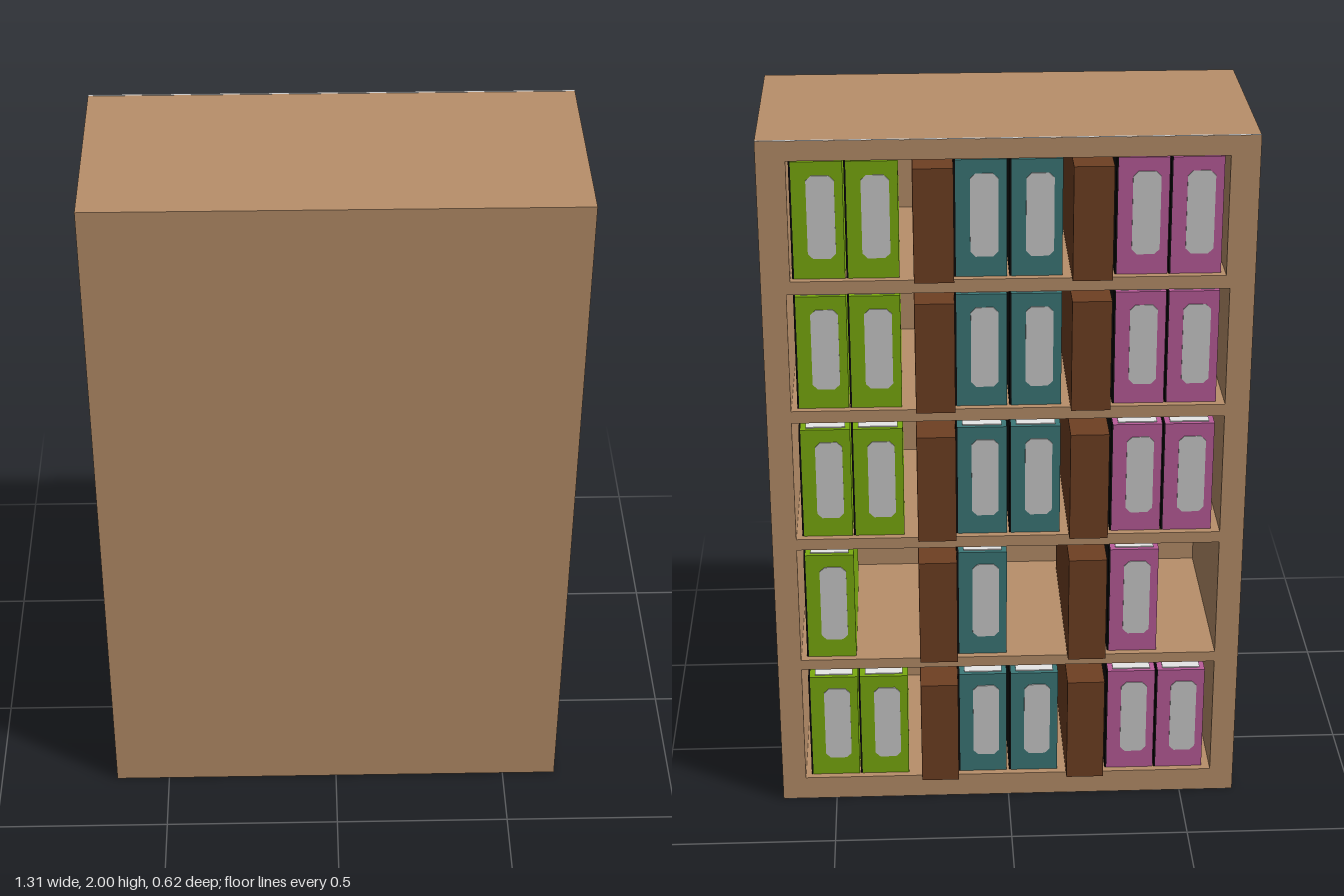
import * as THREE from 'three';

const mat = (name, color, extra = {}) => {
  const m = new THREE.MeshStandardMaterial({ color, ...extra });
  m.name = name;
  return m;
};

export function createModel() {
  const wood = mat('tan wood', 0xb88f6a);
  const brown = mat('dark brown wood', 0x6f4023);
  const green = mat('green cover', 0x7aab0f);
  const teal = mat('teal cover', 0x3c7878);
  const pink = mat('pink cover', 0xb95c9a);
  const label = mat('label grey', 0xcccccc);
  const paper = mat('paper white', 0xf0f0f0);
  const black = mat('black edge', 0x0c0c0c);

  const model = new THREE.Group();
  model.name = 'binderShelf';

  // box given by its limits
  const box = (parent, name, m, x0, x1, y0, y1, z0, z1) => {
    const mesh = new THREE.Mesh(new THREE.BoxGeometry(x1 - x0, y1 - y0, z1 - z0), m);
    mesh.position.set((x0 + x1) / 2, (y0 + y1) / 2, (z0 + z1) / 2);
    mesh.name = name;
    parent.add(mesh);
    return mesh;
  };
  const rect = (P, x, y0, y1) => {
    const p = new P();
    p.moveTo(-x, y0);
    p.lineTo(x, y0);
    p.lineTo(x, y1);
    p.lineTo(-x, y1);
    p.closePath();
    return p;
  };

  // case with five compartments, open towards -z
  const floors = [0.07, 0.463, 0.848, 1.237, 1.612];
  const ceilings = [0.432, 0.815, 1.202, 1.575, 1.945];
  const outline = rect(THREE.Shape, 0.655, 0.001, 1.999);
  floors.forEach((y, i) => outline.holes.push(rect(THREE.Path, i === 4 ? 0.577 : 0.588, y, ceilings[i])));
  const frame = new THREE.Mesh(new THREE.ExtrudeGeometry(outline, { depth: 0.57, bevelEnabled: false }), wood);
  frame.position.z = -0.28;
  frame.name = 'caseFrame';
  model.add(frame);
  box(model, 'closedPanel', wood, -0.655, 0.655, 0.001, 1.999, 0.29, 0.31);

  // fine edge strips on the top and bottom boards
  box(model, 'topEdgeStrip', label, -0.655, 0.655, 1.996, 2, -0.2795, -0.273);
  box(model, 'bottomEdgeStrip', label, -0.655, 0.655, 0, 0.004, -0.2795, -0.273);

  // label with cut corners
  const lw = 0.037, lh = 0.115, c = 0.014;
  const labelShape = new THREE.Shape([
    [-lw + c, -lh], [lw - c, -lh], [lw, -lh + c], [lw, lh - c],
    [lw - c, lh], [-lw + c, lh], [-lw, lh - c], [-lw, -lh + c],
  ].map(([x, y]) => new THREE.Vector2(x, y)));
  const labelGeometry = new THREE.ExtrudeGeometry(labelShape, { depth: 0.003, bevelEnabled: false });

  // binder: cover, page block, black edge and spine label
  const W = 0.135, H = 0.325;
  const binder = (cover, x, y) => {
    const g = new THREE.Group();
    g.name = 'binder';
    g.position.set(x, y, 0);
    box(g, 'cover', cover, -W / 2, W / 2, 0.001, H, -0.262, 0.22);
    box(g, 'pages', paper, -W / 2 + 0.014, W / 2 - 0.014, H, H + 0.003, -0.25, 0.21);
    box(g, 'spineEdge', black, W / 2, W / 2 + 0.005, 0.001, H, -0.261, 0.22);
    const tag = new THREE.Mesh(labelGeometry, label);
    tag.position.set(-0.008, H / 2 + 0.01, -0.265);
    tag.name = 'spineLabel';
    g.add(tag);
    model.add(g);
  };

  // pairs of binders, with the second of each pair missing on one shelf
  const pairs = [[green, 0.499, 0.356], [teal, 0.072, -0.075], [pink, -0.354, -0.497]];
  floors.forEach((y, i) => {
    for (const [cover, a, b] of pairs) {
      binder(cover, a, y);
      if (i !== 1) binder(cover, b, y);
    }
    // protruding dividers
    for (const x of [0.198, -0.22]) {
      box(model, 'divider', brown, x - 0.053, x + 0.053, y + 0.002, y + 0.318, -0.31, 0.25);
    }
  });
  return model;
}
